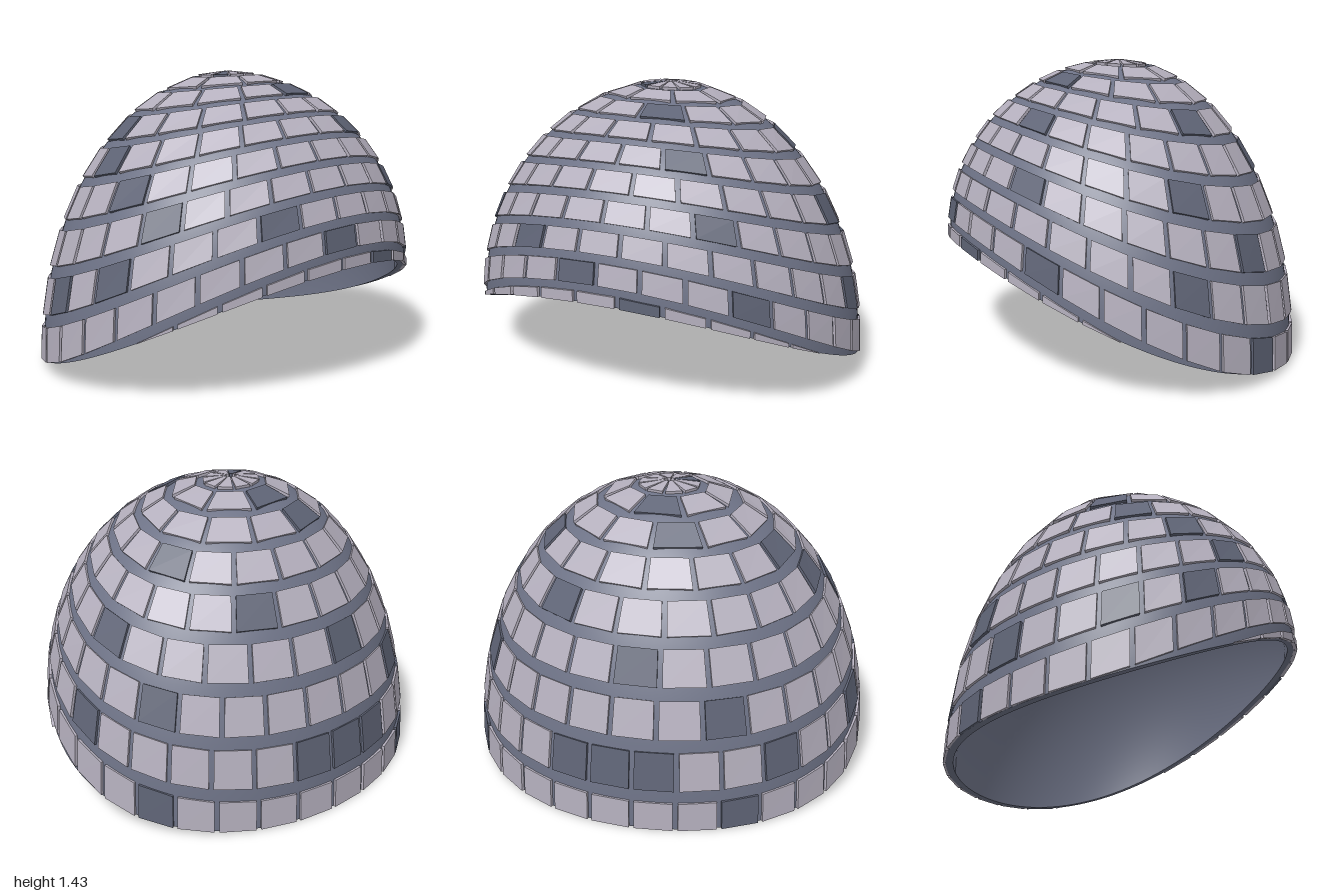
import * as THREE from 'three';
import { ParametricGeometry } from 'three/addons/geometries/ParametricGeometry.js';

const TAU = Math.PI * 2;
const RAD = Math.PI / 180;
const RX = 0.984, RZ = 0.845, TOP = 1.417;
const THICK = 0.035, TILE = 0.014;
const PITCH = 10.06, BAND = 2.6; // row spacing and bare band, in polar degrees

const material = (name, color) => {
  const m = new THREE.MeshStandardMaterial({ color });
  m.name = name;
  return m;
};

// Point on the dome: azimuth phi, polar angle u in degrees, offset from the shell.
// The lower edge sweeps up towards the front.
function domePoint(phi, u, off, target = new THREE.Vector3()) {
  const s = Math.sin(phi);
  const edge = 0.575 * ((1 + s) / 2) ** 2;
  const r = Math.sin(u * RAD), h = Math.cos(u * RAD);
  return target.set(
    (RX + off) * r * Math.cos(phi),
    edge + (TOP - edge + off) * h,
    (RZ + off) * r * s
  );
}

// Polar angle of the line between two rows; lines tilt with the lower edge
function rowLine(k, phi) {
  const s = Math.sin(phi);
  return PITCH * k * (1 - 0.045 * s - 0.015 * s * s);
}

// Appends one raised, flat tile to a position list
function addTile(out, phi0, phi1, k) {
  const upper = p => Math.min(90, k === 0 ? 1.6 : rowLine(k, p) + BAND / 2);
  const lower = p => Math.min(90, rowLine(k + 1, p) - BAND / 2);
  const h0 = lower(phi0) - upper(phi0), h1 = lower(phi1) - upper(phi1);
  if (h0 + h1 < 0.5) return;
  const corners = [
    [phi0, upper(phi0)], [phi1, upper(phi1)], [phi1, lower(phi1)], [phi0, lower(phi0)]
  ];
  const outer = corners.map(([p, u]) => domePoint(p, u, TILE));
  const inner = corners.map(([p, u]) => domePoint(p, u, -0.004));
  const quad = (a, b, c, d) => {
    for (const v of [a, b, c, a, c, d]) out.push(v.x, v.y, v.z);
  };
  quad(...outer);
  for (let i = 0; i < 4; i++) {
    const j = (i + 1) % 4;
    quad(outer[j], outer[i], inner[i], inner[j]);
  }
}

// Places of the dark tiles: azimuth and polar angle in degrees
const DARK = [
  [-79, 16], [-119, 26], [76, 24], [155, 6], [-122, 66], [-94, 57], [-55, 47],
  [-30, 66], [-160, 35], [-175, 45], [165, 54], [-12, 34], [6, 54], [148, 64],
  [64, 43], [57, 60], [117, 69], [96, 80], [50, 81], [81, 88.5], [8, 75],
  [-28, 87], [-70, 77], [-121, 87], [-135, 77], [-90, 77], [-172, 76], [160, 74]
];

function isDark(phi0, phi1, k) {
  return DARK.some(([a, u]) => {
    const p = ((a * RAD - phi0) % TAU + TAU) % TAU;
    const phi = a * RAD;
    return p < phi1 - phi0 && u >= rowLine(k, phi) && u < rowLine(k + 1, phi);
  });
}

export function createModel() {
  const model = new THREE.Group();
  model.name = 'tiledDome';
  const mortar = material('slate mortar', 0x6e7387);
  const pale = material('pale stone', 0xb5b0be);
  const dark = material('dark stone', 0x5f6476);

  // Shell surfaces, each a sweep around the dome from one (angle, offset) to another
  const HOLE = 0.6;
  const addSweep = (name, u0, off0, u1, off1, stacks) => {
    const geometry = new ParametricGeometry((a, t, target) => {
      domePoint(a * TAU, u0 + (u1 - u0) * t, off0 + (off1 - off0) * t, target);
    }, 128, stacks);
    const mesh = new THREE.Mesh(geometry, mortar);
    mesh.name = name;
    model.add(mesh);
  };
  addSweep('outerShell', HOLE, 0, 90, 0, 40);
  addSweep('innerShell', 90, -THICK, HOLE, -THICK, 40);
  addSweep('lowerRim', 90, 0, 90, -THICK, 1);
  addSweep('topHoleWall', HOLE, -THICK, HOLE, 0, 1);

  // Rows of tiles from the top down, joints staggered row by row
  const counts = [10, 8, 12, 17, 21, 24, 27, 29, 30, 30];
  const paleTiles = [], darkTiles = [];
  counts.forEach((n, k) => {
    const step = TAU / n;
    const start = Math.PI / 2 + (k % 2 ? step / 2 : 0);
    const radius = Math.sin(Math.min(90, (k + 0.5) * PITCH) * RAD);
    const gap = Math.min(0.012 / radius, step * 0.08);
    for (let i = 0; i < n; i++) {
      const p0 = start + i * step, p1 = p0 + step;
      addTile(isDark(p0, p1, k) ? darkTiles : paleTiles, p0 + gap, p1 - gap, k);
    }
  });

  for (const [name, list, mat] of [['paleTiles', paleTiles, pale], ['darkTiles', darkTiles, dark]]) {
    const geometry = new THREE.BufferGeometry();
    geometry.setAttribute('position', new THREE.Float32BufferAttribute(list, 3));
    geometry.computeVertexNormals();
    const mesh = new THREE.Mesh(geometry, mat);
    mesh.name = name;
    model.add(mesh);
  }
  return model;
}
